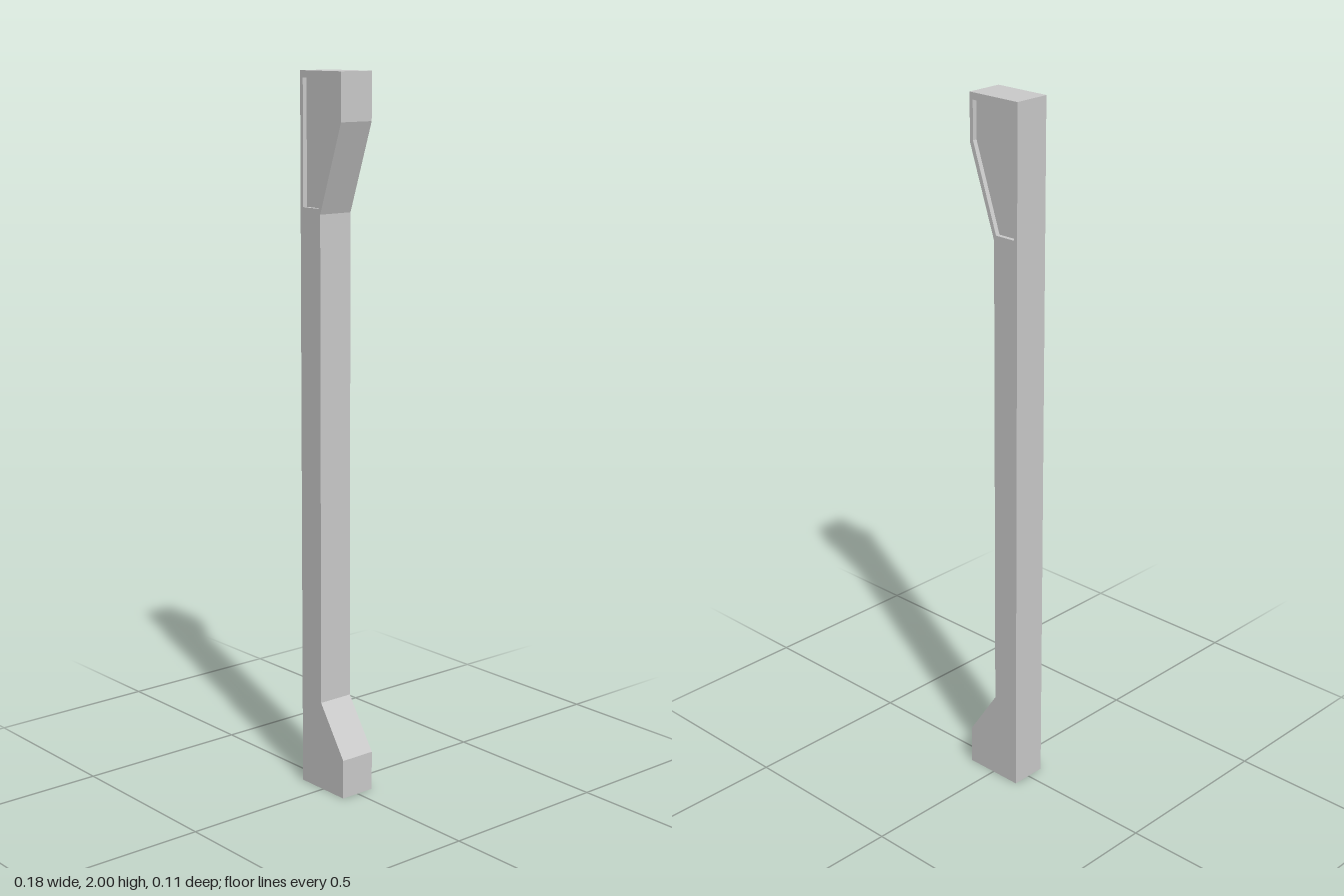
import * as THREE from 'three';

const DEPTH = 0.106;   // full thickness of the post
const RECESS = 0.013;  // how far the panel sits behind each face

// Side outline of the post: foot, slim shaft, flared head
const OUTLINE = [
  [-0.09, 0], [0.088, 0], [0.088, 0.112], [-0.008, 0.256],
  [-0.008, 1.625], [0.077, 1.87], [0.077, 2], [-0.09, 2],
];

// Panel opening in the head, following the flare
const PANEL = [
  [-0.079, 1.64], [-0.015, 1.64], [0.066, 1.876], [0.066, 1.981], [-0.079, 1.981],
];

const toPoints = (list) => list.map(([x, y]) => new THREE.Vector2(x, y));

// Straight extrusion centred on z = 0
function slab(name, shape, depth, material) {
  const geometry = new THREE.ExtrudeGeometry(shape, { depth, bevelEnabled: false });
  geometry.translate(0, 0, -depth / 2);
  const mesh = new THREE.Mesh(geometry, material);
  mesh.name = name;
  return mesh;
}

export function createModel() {
  const group = new THREE.Group();
  group.name = 'post';
  const material = new THREE.MeshStandardMaterial({ color: 0xcccccc, flatShading: true });

  // Post body with the opening cut through the head
  const bodyShape = new THREE.Shape(toPoints(OUTLINE));
  bodyShape.holes.push(new THREE.Path(toPoints(PANEL)));
  group.add(slab('postBody', bodyShape, DEPTH, material));

  // Thinner panel filling the opening, recessed on front and back
  const panelShape = new THREE.Shape(toPoints(PANEL));
  group.add(slab('recessedPanel', panelShape, DEPTH - 2 * RECESS, material));

  return group;
}
